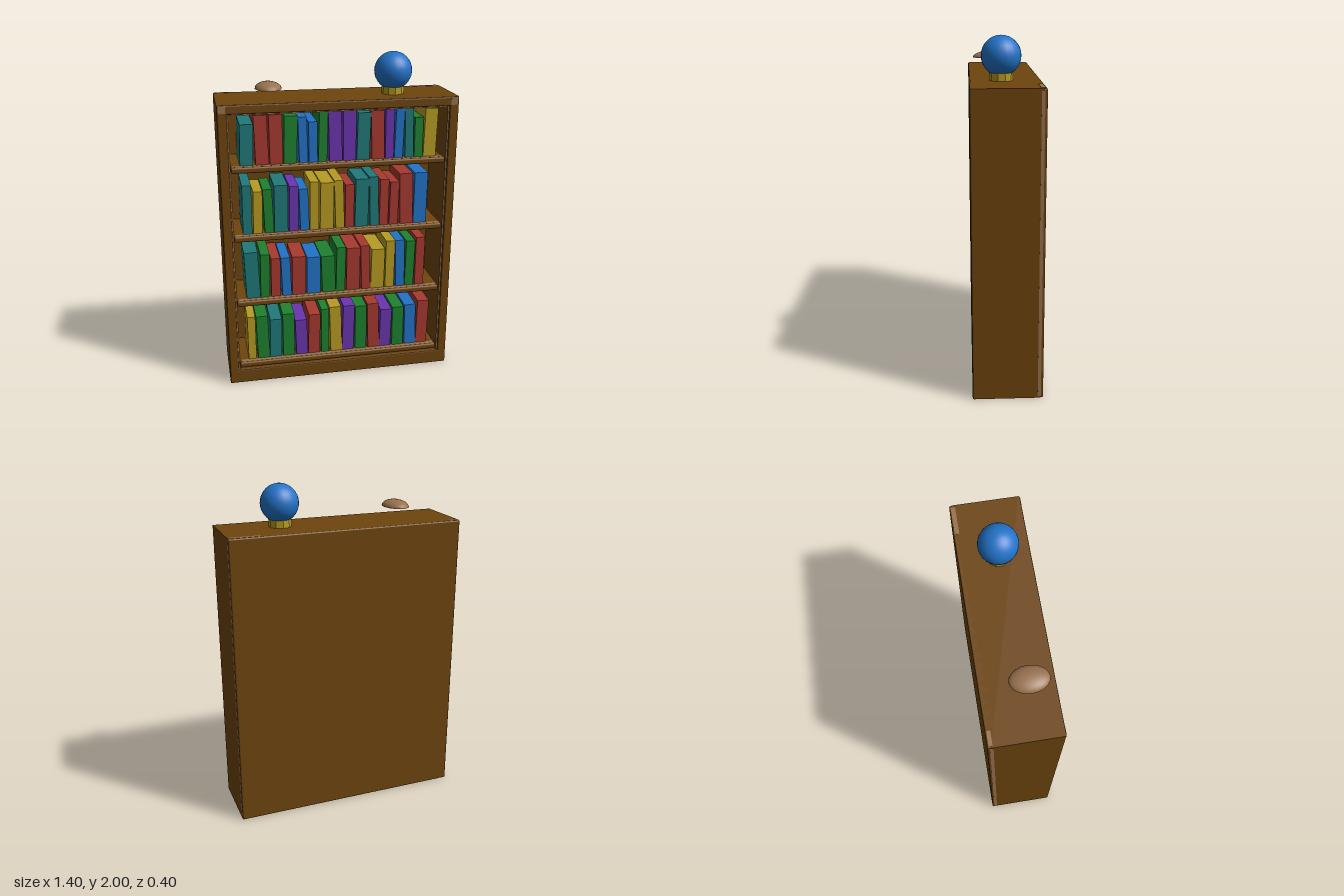
import * as THREE from 'three';
import { RoundedBoxGeometry } from 'three/addons/geometries/RoundedBoxGeometry.js';

const mat = (name, color) => {
  const m = new THREE.MeshStandardMaterial({ color });
  m.name = name;
  return m;
};

export function createModel() {
  const wood = mat('dark wood', 0x6e450e);
  const worn = mat('worn wood', 0x9a7350);
  const colours = {
    T: mat('teal', 0x20797a),
    R: mat('red', 0xa83a30),
    G: mat('green', 0x1f8230),
    B: mat('blue', 0x2273c8),
    P: mat('purple', 0x6b35b0),
    Y: mat('gold', 0xb89c22),
  };
  const model = new THREE.Group();
  model.name = 'bookcase';

  const add = (name, geometry, material, x = 0, y = 0, z = 0, parent = model) => {
    const m = new THREE.Mesh(geometry, material);
    m.name = name;
    m.position.set(x, y, z);
    parent.add(m);
    return m;
  };
  const box = (name, w, h, d, material, x, y, z) =>
    add(name, new THREE.BoxGeometry(w, h, d), material, x, y, z);

  // Outer frame with its opening, edges chamfered
  const W = 0.7, H = 1.755, IN = 0.645, LOW = 0.09, TOP = 1.7;
  const bevel = 0.008;
  const outline = (path, x, y0, y1) =>
    path.moveTo(-x, y0).lineTo(x, y0).lineTo(x, y1).lineTo(-x, y1).closePath();
  const frame = outline(new THREE.Shape(), W, 0, H);
  frame.holes.push(outline(new THREE.Path(), IN, LOW, TOP));
  add('frame', new THREE.ExtrudeGeometry(frame, {
    depth: 0.39 - 2 * bevel, bevelThickness: bevel, bevelSize: bevel, bevelOffset: -bevel, bevelSegments: 2,
  }), wood, 0, 0, -0.19 + bevel);
  add('backPanel', new RoundedBoxGeometry(2 * W, H, 0.06, 2, bevel), wood, 0, H / 2, -0.17);

  // Worn edges: back corners, front top corners and the rim of the opening
  for (const s of [-1, 1]) {
    box('wornBackEdge', 0.004, 1.73, 0.018, worn, s * 0.699, H / 2, -0.178);
    box('wornCorner', 0.04, 0.04, 0.004, worn, s * 0.672, 1.727, 0.199);
    box('wornRimSide', 0.009, TOP - LOW, 0.008, worn, s * 0.641, (LOW + TOP) / 2, 0.185);
  }
  box('wornRimTop', 2 * IN, 0.008, 0.008, worn, 0, 1.697, 0.185);
  box('wornTopEdge', 0.17, 0.003, 0.025, worn, 0.6, H, -0.18);
  box('wornTopEdge', 0.08, 0.003, 0.02, worn, -0.65, H, -0.182);

  // Rows of books from the bottom up: a capital is a thick book, a small letter
  // a thin one; heights are in hundredths
  const rows = [
    { hues: 'yGTGPRgYPGRPGBR', end: 0.59,
      tall: [29, 29, 26, 29, 24, 27, 30, 31, 31, 30, 31, 26, 27, 28, 30] },
    { hues: 'TgrbRBGgRrYybgr', end: 0.55,
      tall: [30, 28, 25, 25, 25, 24, 24, 29, 28, 29, 26, 31, 31, 30, 32] },
    { hues: 'tygTpbyYyrTtrrRB', end: 0.55,
      tall: [30, 26, 27, 29, 28, 26, 30, 29, 30, 27, 30, 31, 29, 27, 32, 32] },
    { hues: 'TRRGbbgPPTRpbtgY', end: 0.595,
      tall: [24, 29, 29, 28, 27, 24, 30, 30, 30, 28, 29, 30, 30, 30, 24, 29] },
  ];
  const START = -0.582, THIN = 0.7;

  rows.forEach(({ hues, end, tall }, r) => {
    // Shelf board with a worn strip along its front top
    const y = 0.13 + 0.42 * r;
    add('shelf', new RoundedBoxGeometry(1.27, 0.035, 0.33, 2, 0.01), wood, 0, y - 0.0175, 0.02);
    box('wornShelfTop', 1.25, 0.003, 0.025, worn, 0, y - 0.001, 0.158);

    const books = new THREE.Group();
    books.name = 'bookRow';
    model.add(books);
    const shares = [...hues].map(c => (c === c.toUpperCase() ? 1 : THIN));
    const unit = (end - START) / shares.reduce((a, b) => a + b);
    let x = START;
    [...hues].forEach((hue, i) => {
      const room = shares[i] * unit;
      const h = tall[i] / 100;
      const d = 0.24 + 0.008 * ((i * 3 + r) % 4);
      const book = add('book', new THREE.BoxGeometry(room - 0.008, h, d), colours[hue.toUpperCase()],
        x + room / 2, y + h / 2, 0.145 - d / 2, books);
      book.rotation.z = 0.03 * Math.sin(i * 2.1 + r * 1.7);
      x += room;
    });
  });

  // Globe on a faceted gold foot
  const foot = new THREE.CylinderGeometry(0.066, 0.066, 0.06, 10).toNonIndexed();
  foot.computeVertexNormals();
  add('globeFoot', foot, colours.Y, 0.346, 1.78, 0.022);
  add('globe', new THREE.SphereGeometry(0.111, 24, 16), colours.B, 0.346, 1.889, 0.022);

  // Shallow oval dome hovering over the other end, closed underneath
  const dome = new THREE.Group();
  dome.name = 'dome';
  dome.position.set(-0.397, 1.815, 0.062);
  dome.scale.set(0.076, 0.04, 0.108);
  model.add(dome);
  add('domeShell', new THREE.SphereGeometry(1, 20, 8, 0, Math.PI * 2, 0, Math.PI / 2), worn, 0, 0, 0, dome);
  add('domeBase', new THREE.CircleGeometry(1, 20).rotateX(Math.PI / 2), worn, 0, 0, 0, dome);

  return model;
}
